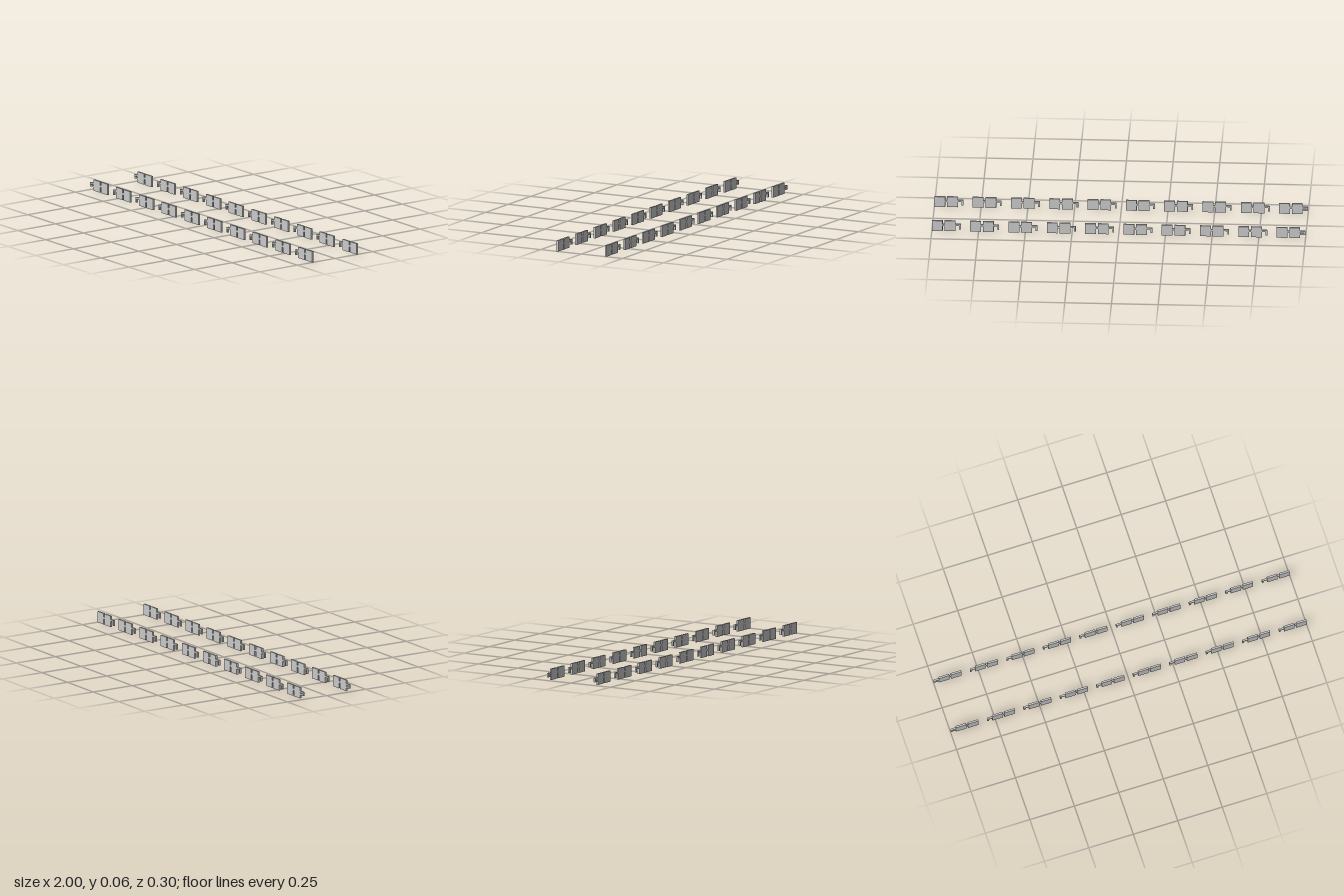
import * as THREE from 'three';

const material = new THREE.MeshStandardMaterial({ color: 0xcccccc, flatShading: true });
const DEPTH = 0.01;
const COUNT = 10;
const PITCH = 0.205;

// Box given by its x and y limits, centred on z = 0
function slab(name, x0, x1, y0, y1, depth = DEPTH) {
  const mesh = new THREE.Mesh(new THREE.BoxGeometry(x1 - x0, y1 - y0, depth), material);
  mesh.name = name;
  mesh.position.set((x0 + x1) / 2, (y0 + y1) / 2, 0);
  return mesh;
}

// Two square plates joined by a link, with a hooked arm on the -x side
function createUnit(closedHook) {
  const unit = new THREE.Group();
  unit.add(
    slab('outerPlate', 0.029, 0.087, 0, 0.06),
    slab('innerPlate', 0.097, 0.155, 0, 0.06),
    slab('link', 0.087, 0.097, 0.03, 0.04),
    slab('arm', 0, 0.029, 0.032, 0.041),
    slab('hookTip', 0, 0.009, closedHook ? 0.018 : 0.012, 0.032)
  );
  // The end unit has its hook closed by a lower bar
  if (closedHook) unit.add(slab('lowerArm', 0.009, 0.029, 0.018, 0.027));
  return unit;
}

export function createModel() {
  const model = new THREE.Group();
  model.name = 'plateRows';
  // Two parallel rows, front and back
  for (const side of [1, -1]) {
    const row = new THREE.Group();
    row.name = side > 0 ? 'frontRow' : 'backRow';
    row.position.z = side * 0.147;
    for (let i = 0; i < COUNT; i++) {
      const unit = createUnit(i === 0);
      unit.name = 'plateUnit' + (i + 1);
      unit.position.x = -1 + i * PITCH;
      row.add(unit);
    }
    model.add(row);
  }
  return model;
}
